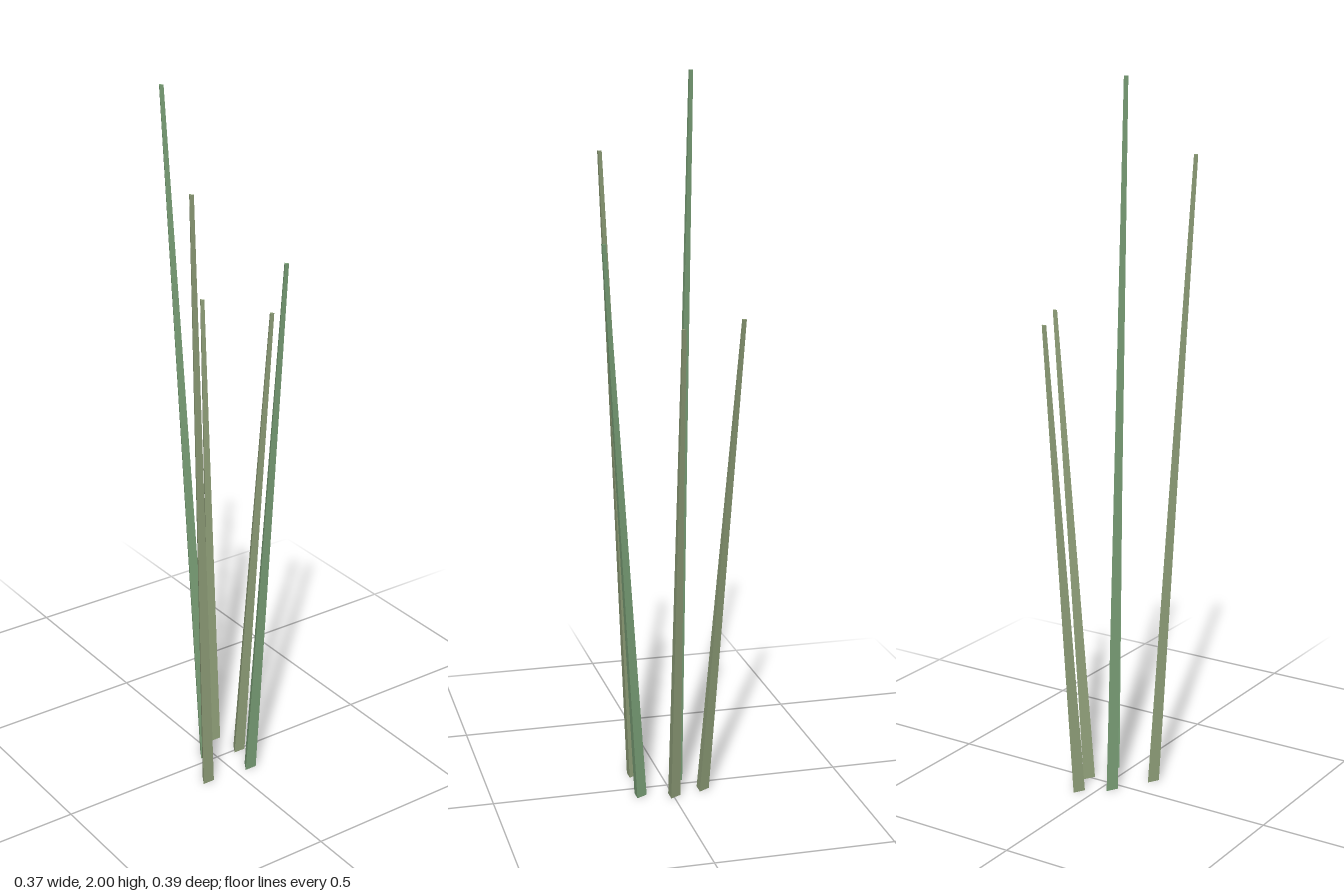
import * as THREE from 'three';

const GREEN = 0x7fa67c;
const OLIVE = 0x93a37c;

// base centre [x, z], tip centre [x, z], height, colour
const STEMS = [
  { base: [-0.025, -0.031], tip: [-0.109, -0.093], height: 2, color: GREEN },
  { base: [-0.093, 0.081], tip: [-0.178, 0.143], height: 1.785, color: OLIVE },
  { base: [0.048, 0.092], tip: [0.081, 0.191], height: 1.57, color: GREEN },
  { base: [0.073, 0], tip: [0.178, 0], height: 1.355, color: OLIVE },
  { base: [0.048, -0.09], tip: [0.081, -0.192], height: 1.355, color: OLIVE },
];

// Three-sided tapered stem, sheared so both ends stay level
function stemGeometry({ base, tip, height }) {
  const geometry = new THREE.CylinderGeometry(0.0075, 0.0207, height, 3, 1, false, Math.PI);
  geometry.translate(0, height / 2, 0);
  const shear = new THREE.Matrix4().makeShear(
    0, 0, (tip[0] - base[0]) / height, (tip[1] - base[1]) / height, 0, 0);
  // write the lean explicitly: x and z shift in proportion to y
  shear.identity();
  shear.elements[4] = (tip[0] - base[0]) / height;
  shear.elements[6] = (tip[1] - base[1]) / height;
  geometry.applyMatrix4(shear);
  geometry.translate(base[0], 0, base[1]);
  return geometry;
}

export function createModel() {
  const model = new THREE.Group();
  model.name = 'reedCluster';
  STEMS.forEach((stem, i) => {
    const material = new THREE.MeshStandardMaterial({ color: stem.color, flatShading: true });
    const mesh = new THREE.Mesh(stemGeometry(stem), material);
    mesh.name = `stem${i + 1}`;
    model.add(mesh);
  });
  return model;
}
